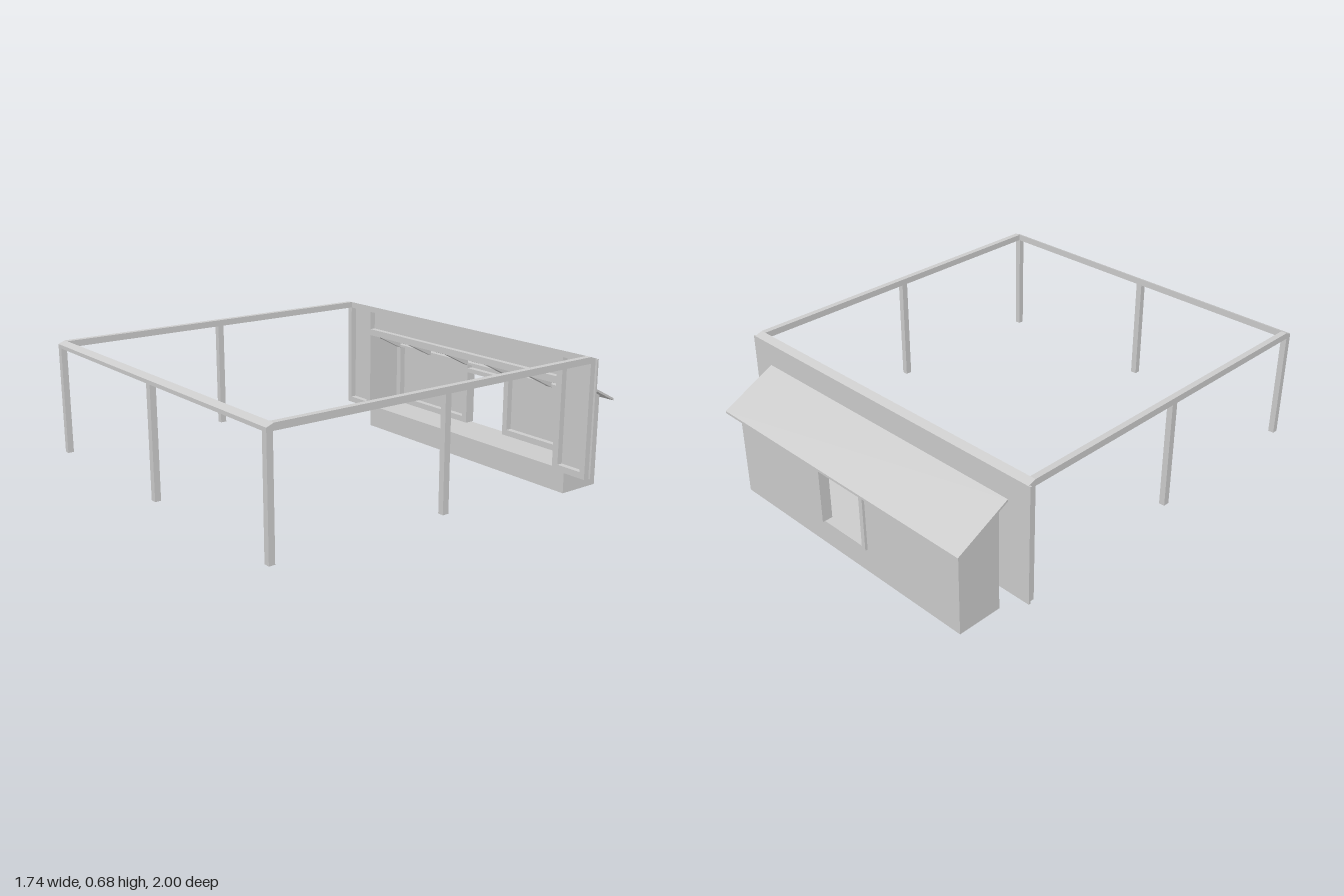
import * as THREE from 'three';

const material = new THREE.MeshStandardMaterial({ color: 0xcccccc, flatShading: true });

function add(parent, name, geometry) {
  const mesh = new THREE.Mesh(geometry, material);
  mesh.name = name;
  parent.add(mesh);
  return mesh;
}

function group(parent, name) {
  const g = new THREE.Group();
  g.name = name;
  parent.add(g);
  return g;
}

// Box given by its extents on each axis
function box(parent, name, [x0, x1], [y0, y1], [z0, z1]) {
  const g = new THREE.BoxGeometry(x1 - x0, y1 - y0, z1 - z0);
  g.translate((x0 + x1) / 2, (y0 + y1) / 2, (z0 + z1) / 2);
  return add(parent, name, g);
}

const shapeOf = (points) => new THREE.Shape(points.map(([a, b]) => new THREE.Vector2(a, b)));

// Outline in (z, y), extruded along x
function profileX(parent, name, points, x0, x1) {
  const g = new THREE.ExtrudeGeometry(shapeOf(points), { depth: x1 - x0, bevelEnabled: false });
  g.rotateY(-Math.PI / 2).translate(x1, 0, 0);
  return add(parent, name, g);
}

// Outline in (x, y), extruded along z
function profileZ(parent, name, points, z0, z1) {
  const g = new THREE.ExtrudeGeometry(shapeOf(points), { depth: z1 - z0, bevelEnabled: false });
  g.translate(0, 0, z0);
  return add(parent, name, g);
}

// Underside of the lean-to roof at depth z
const roofY = (z) => 0.548 + (z + 0.735) * 0.51;

export function createModel() {
  const model = new THREE.Group();
  model.name = 'pavilion';

  // Open frame: sloped-top end beams, side beams and posts
  const frame = group(model, 'openFrame');
  profileX(frame, 'frontBeam', [[0.967, 0.65], [1, 0.65], [1, 0.667], [0.967, 0.68]], -0.86, 0.86);
  profileX(frame, 'backBeam', [[-0.738, 0.65], [-0.7, 0.65], [-0.7, 0.68], [-0.738, 0.667]], -0.86, 0.86);
  for (const s of [-1, 1]) {
    const xs = s > 0 ? [0.832, 0.86] : [-0.86, -0.832];
    box(frame, 'sideBeam', xs, [0.65, 0.68], [-0.7, 0.967]);
    box(frame, 'cornerPost', xs, [0.145, 0.65], [0.972, 1]);
    box(frame, 'sidePost', xs, [0.145, 0.65], [0.124, 0.154]);
  }
  box(frame, 'frontCentrePost', [-0.015, 0.015], [0.145, 0.65], [0.972, 1]);

  // Rear wall: sheet with a wide opening, studs and rails in front of it
  const wall = group(model, 'rearWall');
  profileZ(wall, 'wallSheet', [
    [-0.87, 0.115], [-0.667, 0.115], [-0.667, 0.523], [0.667, 0.523],
    [0.667, 0.115], [0.87, 0.115], [0.87, 0.667], [-0.87, 0.667],
  ], -0.738, -0.729);
  const studZ = [-0.729, -0.7];
  for (const s of [-1, 1]) {
    const span = (a, b) => (s > 0 ? [a, b] : [-b, -a]);
    box(wall, 'outerStud', span(0.832, 0.86), [0.115, 0.65], studZ);
    box(wall, 'openingStud', span(0.667, 0.7), [0.115, 0.65], studZ);
    box(wall, 'bottomRail', span(0.7, 0.832), [0.115, 0.145], studZ);
  }
  box(wall, 'openingHeader', [-0.667, 0.667], [0.523, 0.556], studZ);

  // Lean-to alcove behind the wall
  const alcove = group(model, 'alcove');
  const front = -0.738, back = -0.955, inner = -0.946, studFront = -0.916;
  box(alcove, 'floorBase', [-0.698, 0.698], [0, 0.115], [inner, front]);
  const backTop = roofY(inner);
  profileZ(alcove, 'backSheet', [
    [-0.708, 0], [0.708, 0], [0.708, backTop], [-0.708, backTop],
  ], back, inner).geometry = windowedSheet(backTop, back, inner);

  for (const s of [-1, 1]) {
    const span = (a, b) => (s > 0 ? [a, b] : [-b, -a]);
    profileX(alcove, 'sideSheet',
      [[front, 0], [inner, 0], [inner, roofY(inner)], [front, roofY(front)]], ...span(0.698, 0.708));
    box(alcove, 'sideBottomRail', span(0.667, 0.698), [0.115, 0.145], [studFront, front]);
    box(alcove, 'backCornerStud', span(0.667, 0.698), [0.115, 0.43], [inner, studFront]);
    box(alcove, 'frontCornerStud', span(0.667, 0.698), [0.145, 0.515], [front - 0.03, front]);
    box(alcove, 'backBottomRail', span(0.132, 0.667), [0.115, 0.145], [inner, studFront]);
    box(alcove, 'windowStud', span(0.132, 0.162), [0.145, 0.43], [inner, studFront]);
    box(alcove, 'windowSideTrim', span(0.132, 0.154), [0.115, 0.41], [-0.967, back]);
  }
  box(alcove, 'windowHeader', [-0.132, 0.132], [0.388, 0.41], [inner, studFront]);
  box(alcove, 'windowTopTrim', [-0.132, 0.132], [0.388, 0.41], [-0.967, back]);
  box(alcove, 'backTopRail', [-0.698, 0.698], [0.43, roofY(inner)], [inner, studFront]);

  // Sloping roof sheet and the rafters under it
  const slope = (z0, z1, bottom, top) => [
    [z0, roofY(z0) + bottom], [z1, roofY(z1) + bottom], [z1, roofY(z1) + top], [z0, roofY(z0) + top],
  ];
  profileX(alcove, 'roofSheet', slope(-1, front, 0, 0.011), -0.755, 0.755);
  for (const x of [-0.683, -0.433, -0.147, 0.147, 0.433, 0.683]) {
    profileX(alcove, 'rafter', slope(studFront, front, -0.03, 0), x - 0.015, x + 0.015);
  }
  return model;
}

// Alcove back wall with its window opening
function windowedSheet(top, z0, z1) {
  const shape = shapeOf([[-0.708, 0], [0.708, 0], [0.708, top], [-0.708, top]]);
  shape.holes.push(shapeOf([[-0.132, 0.115], [-0.132, 0.388], [0.132, 0.388], [0.132, 0.115]]));
  return new THREE.ExtrudeGeometry(shape, { depth: z1 - z0, bevelEnabled: false }).translate(0, 0, z0);
}
